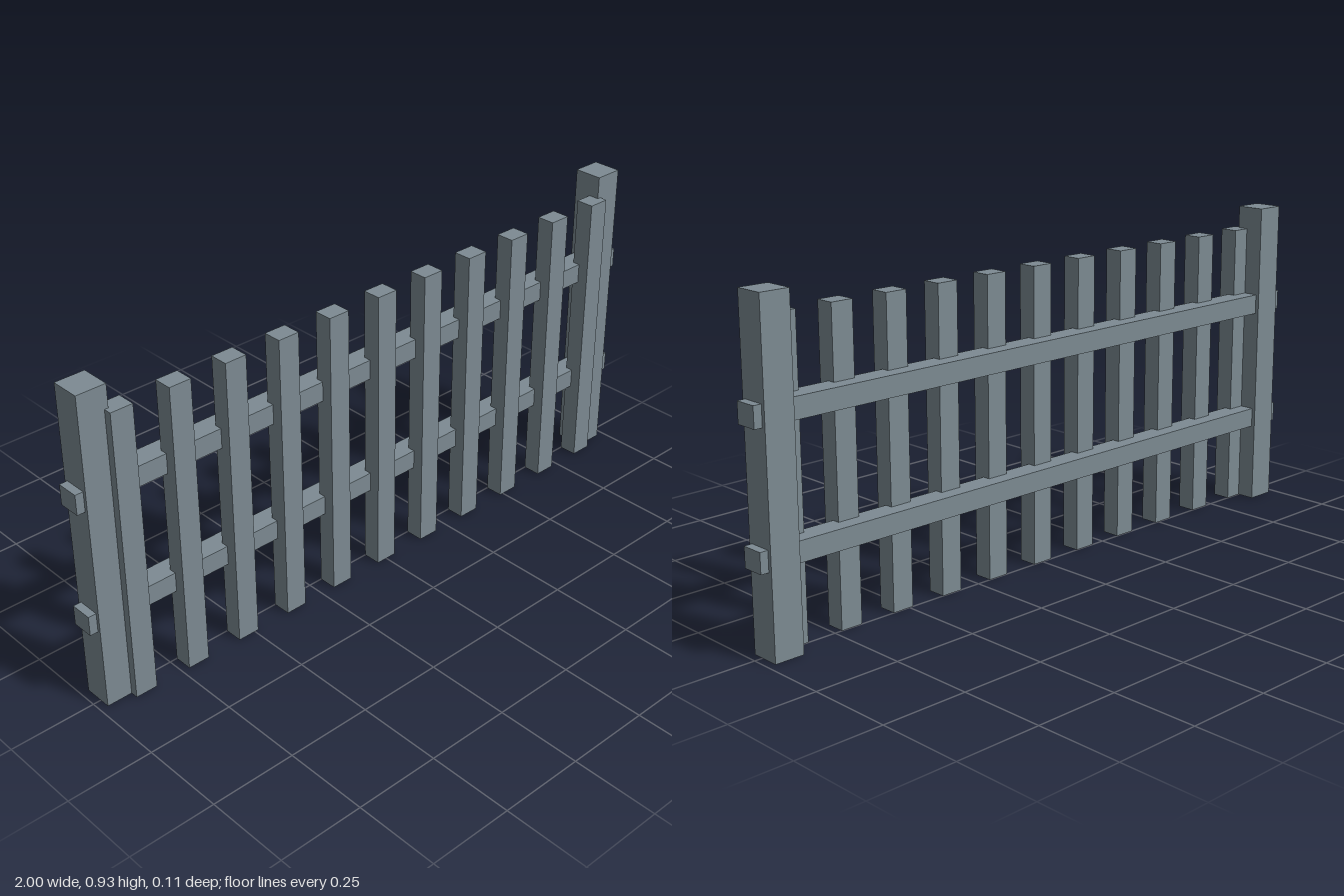
import * as THREE from 'three';

export function createModel() {
  const group = new THREE.Group();
  const paint = new THREE.MeshStandardMaterial({ color: 0x7d8b93 });
  paint.name = 'greyPaint';

  // Box given by its centre x, bottom y, back z and size
  const addBoard = (name, x, y, z, width, height, depth) => {
    const board = new THREE.Mesh(new THREE.BoxGeometry(width, height, depth), paint);
    board.name = name;
    board.position.set(x, y + height / 2, z + depth / 2);
    group.add(board);
  };

  // End posts
  addBoard('leftPost', 0.933, 0, -0.055, 0.087, 0.933, 0.087);
  addBoard('rightPost', -0.933, 0, -0.055, 0.087, 0.933, 0.087);

  // Horizontal rails running through the posts
  addBoard('lowerRail', 0, 0.238, -0.044, 2, 0.058, 0.066);
  addBoard('upperRail', 0, 0.604, -0.044, 2, 0.059, 0.066);

  // Evenly spaced pickets let into the front of the rails
  for (let i = -5; i <= 5; i++) {
    addBoard(`picket${i + 6}`, i * 0.1736, 0, 0, 0.066, 0.866, 0.055);
  }

  return group;
}
